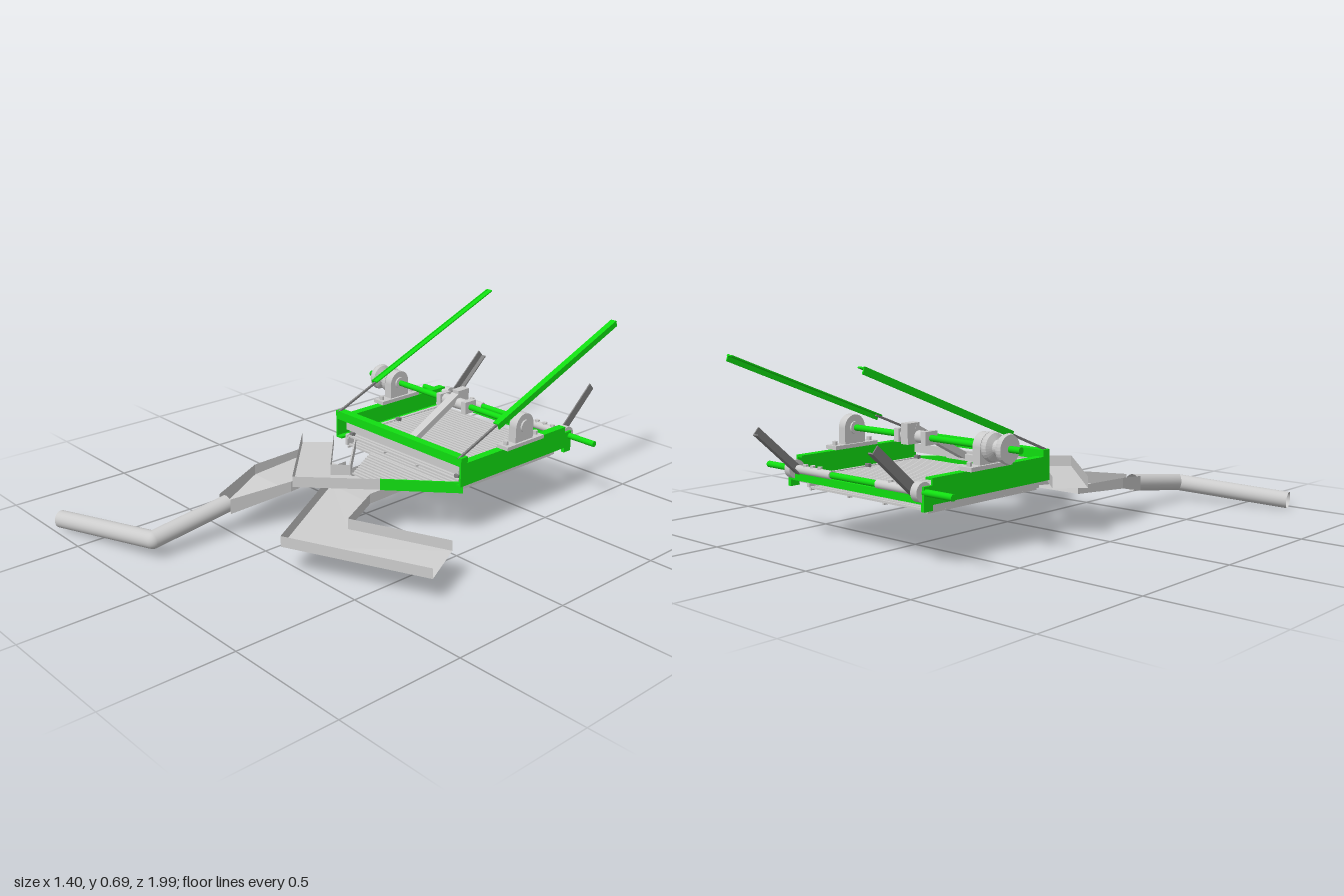
import * as THREE from 'three';

const V = (p) => new THREE.Vector3(...p);
const grey = new THREE.MeshStandardMaterial({ color: 0xcccccc, side: THREE.DoubleSide, flatShading: true });
const smooth = new THREE.MeshStandardMaterial({ color: 0xcccccc, side: THREE.DoubleSide });
const dark = new THREE.MeshStandardMaterial({ color: 0x808080, side: THREE.DoubleSide });
const green = new THREE.MeshStandardMaterial({ color: 0x11dd11, side: THREE.DoubleSide });

export function createModel() {
  const model = new THREE.Group();
  const CX = 0.06; // centre line of the screen box
  const SIDES = [-1, 1];

  const add = (name, geo, mat, parent = model) => {
    const m = new THREE.Mesh(geo, mat);
    m.name = name;
    parent.add(m);
    return m;
  };
  // box given by its min and max on each axis
  const box = (name, x, y, z, mat) => {
    const m = add(name, new THREE.BoxGeometry(x[1] - x[0], y[1] - y[0], z[1] - z[0]), mat);
    m.position.set((x[0] + x[1]) / 2, (y[0] + y[1]) / 2, (z[0] + z[1]) / 2);
    return m;
  };
  // straight bar of rectangular section between two points
  const bar = (name, a, b, w, h, mat) => {
    const m = add(name, new THREE.BoxGeometry(w, h, V(a).distanceTo(V(b))), mat);
    m.position.copy(V(a).lerp(V(b), 0.5));
    m.lookAt(V(b));
    return m;
  };
  // cylinder lying along x
  const rod = (name, x0, x1, y, z, r, mat, sides = 20) => {
    const m = add(name, new THREE.CylinderGeometry(r, r, x1 - x0, sides), mat);
    m.rotation.z = Math.PI / 2;
    m.position.set((x0 + x1) / 2, y, z);
    return m;
  };
  // open trough through sections [left floor point, right floor point, wall height]
  const trough = (name, sections, mat = grey) => {
    const rows = sections.map(([l, r, h]) => [[l[0], l[1] + h, l[2]], l, r, [r[0], r[1] + h, r[2]]]);
    const pos = [];
    for (let i = 0; i + 1 < rows.length; i++) {
      for (let j = 0; j < 3; j++) {
        const [a, b, c, d] = [rows[i][j], rows[i][j + 1], rows[i + 1][j + 1], rows[i + 1][j]];
        pos.push(...a, ...b, ...c, ...a, ...c, ...d);
      }
    }
    const g = new THREE.BufferGeometry();
    g.setAttribute('position', new THREE.Float32BufferAttribute(pos, 3));
    g.computeVertexNormals();
    return add(name, g, mat);
  };

  // side channels, lift arms, bearings and rear legs, mirrored about the centre line
  for (const s of SIDES) {
    const side = s < 0 ? 'right' : 'left';
    const span = (a, b) => [CX + s * a, CX + s * b].sort((p, q) => p - q);
    box(side + 'RailWeb', span(0.347, 0.355), [0.22, 0.31], [-0.7, -0.1], green);
    box(side + 'RailTopFlange', span(0.322, 0.355), [0.302, 0.31], [-0.7, -0.1], green);
    box(side + 'RailBottomFlange', span(0.322, 0.355), [0.22, 0.228], [-0.7, -0.1], green);
    box(side + 'RailEnd', span(0.34, 0.355), [0.2, 0.285], [-0.74, -0.7], green);
    box(side + 'ScreenClamp', span(0.308, 0.322), [0.19, 0.235], [-0.68, -0.12], grey);

    // lift arm of angle section with a thin stay at its foot
    const x = CX + s * 0.34;
    bar(side + 'ArmWeb', [x + s * 0.012, 0.41, -0.3], [x + s * 0.012, 0.685, -0.99], 0.005, 0.025, green);
    bar(side + 'ArmFlange', [x, 0.418, -0.3], [x, 0.693, -0.99], 0.028, 0.005, green);
    bar(side + 'ArmStay', [x, 0.33, -0.1], [x, 0.42, -0.32], 0.008, 0.008, dark);

    // pillow block bearing
    const bx = CX + s * 0.35;
    box(side + 'BearingFoot', [bx - 0.028, bx + 0.028], [0.31, 0.325], [-0.54, -0.33], grey);
    box(side + 'BearingPedestal', [bx - 0.018, bx + 0.018], [0.32, 0.385], [-0.485, -0.385], grey);
    rod(side + 'BearingHousing', bx - 0.018, bx + 0.018, 0.385, -0.435, 0.05, smooth, 28);
    rod(side + 'BearingCollar', bx - 0.025, bx + 0.025, 0.385, -0.435, 0.025, smooth);
    for (const z of [-0.52, -0.35]) {
      const bolt = add(side + 'BearingBolt', new THREE.CylinderGeometry(0.01, 0.01, 0.02, 6), grey);
      bolt.position.set(bx, 0.33, z);
    }

    // rear leg, sleeve and bolts on the rear rod
    const lx = CX + s * 0.3;
    bar(side + 'RearLegWeb', [lx + s * 0.01, 0.255, -0.72], [lx + s * 0.01, 0.425, -0.91], 0.005, 0.032, dark);
    bar(side + 'RearLegFlange', [lx, 0.243, -0.73], [lx, 0.413, -0.92], 0.025, 0.005, dark);
    rod(side + 'RearSleeve', ...span(0.12, 0.31), 0.265, -0.73, 0.016, smooth);
    rod(side + 'RearRoller', ...span(0.315, 0.345), 0.265, -0.73, 0.035, smooth);
    for (let i = 0; i < 3; i++) {
      const bolt = add(side + 'SleeveBolt', new THREE.CylinderGeometry(0.01, 0.01, 0.04, 6), grey);
      bolt.position.set(CX + s * (0.185 + i * 0.04), 0.268, -0.73);
    }
  }

  // cross members
  box('frontBeam', [-0.295, 0.415], [0.3, 0.335], [-0.135, -0.1], green);
  box('frontPlate', [-0.26, 0.38], [0.255, 0.29], [-0.135, -0.125], grey);
  box('rearBeam', [-0.295, 0.415], [0.225, 0.252], [-0.74, -0.72], green);
  rod('rearRod', -0.42, 0.54, 0.265, -0.73, 0.012, green);

  // eccentric shaft with grooved pulley and hub
  rod('shaft', -0.45, 0.42, 0.385, -0.435, 0.012, green);
  const profile = [[0.012, -0.045], [0.05, -0.045], [0.054, -0.035], [0.05, -0.022], [0.028, -0.012],
    [0.028, 0.012], [0.05, 0.022], [0.054, 0.035], [0.05, 0.045], [0.012, 0.045]];
  const pulley = add('pulley', new THREE.LatheGeometry(profile.map((p) => new THREE.Vector2(...p)), 28), grey);
  pulley.rotation.z = Math.PI / 2;
  pulley.position.set(-0.355, 0.385, -0.435);
  rod('hub', -0.02, 0.14, 0.385, -0.435, 0.023, smooth);
  for (const x of [-0.01, 0.13]) box('hubClamp', [x - 0.012, x + 0.012], [0.36, 0.41], [-0.465, -0.405], grey);

  // drive arm from the hub down to the screen
  box('driveArmHead', [0.043, 0.078], [0.36, 0.437], [-0.49, -0.43], grey);
  bar('driveArm', [CX, 0.42, -0.45], [CX, 0.285, -0.19], 0.035, 0.025, grey);
  box('driveArmFoot', [-0.02, 0.14], [0.265, 0.29], [-0.195, -0.175], grey);

  // two screen decks of cross slats on long bearers
  for (const [y, w] of [[0.228, 0.012], [0.19, 0.01]]) {
    for (let i = 0; i < 28; i++) {
      const z = -0.672 + i * 0.02;
      box('screenSlat', [-0.25, 0.37], [y - 0.004, y + 0.004], [z - w / 2, z + w / 2], grey);
    }
    for (const x of [-0.245, -0.03, 0.155, 0.365]) {
      box('screenBearer', [x - 0.004, x + 0.004], [y - 0.01, y - 0.002], [-0.68, -0.12], grey);
    }
  }
  for (const x of [-0.24, 0.36]) {
    for (const z of [-0.66, -0.4, -0.14]) box('screenLug', [x - 0.01, x + 0.01], [0.23, 0.245], [z - 0.008, z + 0.008], dark);
  }

  // slatted funnel narrowing in front of the screen
  bar('funnelLeftWall', [0.41, 0.212, -0.12], [0.18, 0.212, 0.09], 0.006, 0.044, green);
  bar('funnelRightWall', [-0.2, 0.212, -0.12], [0, 0.212, 0.085], 0.006, 0.044, grey);
  for (let i = 0; i < 10; i++) {
    const t = i / 9.5;
    const z = -0.11 + t * 0.19;
    bar('funnelSlat', [THREE.MathUtils.lerp(-0.1, 0.01, t), 0.197, z],
      [THREE.MathUtils.lerp(0.39, 0.19, t), 0.197, z], 0.011, 0.006, grey);
  }

  // upper trough turning back to the right
  trough('upperTrough', [
    [[-0.4, 0.19, -0.005], [-0.31, 0.19, -0.1], 0.043],
    [[-0.06, 0.19, 0.32], [-0.055, 0.19, 0.135], 0.043],
    [[0.18, 0.19, 0.09], [0, 0.19, 0.08], 0.043],
  ]);

  // lower trough bending out to the left
  trough('lowerTrough', [
    [[-0.055, 0.155, -0.13], [0.18, 0.155, -0.13], 0.035],
    [[-0.055, 0.148, 0.13], [0.18, 0.148, 0.14], 0.04],
    [[0.185, 0.112, 0.57], [0.26, 0.128, 0.32], 0.042],
    [[0.7, 0.1, 0.325], [0.63, 0.125, 0.16], 0.04],
  ]);

  // tapering trough into the discharge pipe
  trough('taperTrough', [
    [[-0.35, 0.16, 0], [-0.12, 0.16, 0], 0.03],
    [[-0.35, 0.14, 0.28], [-0.12, 0.14, 0.28], 0.042],
    [[-0.27, 0.088, 0.51], [-0.2, 0.088, 0.51], 0.06],
  ]);

  // bent discharge pipe, open at both ends
  const points = [[-0.235, 0.118, 0.5], [-0.235, 0.073, 0.835], [-0.693, 0.037, 0.96]].map(V);
  for (let i = 0; i < 2; i++) {
    const path = new THREE.LineCurve3(points[i], points[i + 1]);
    add('pipe', new THREE.TubeGeometry(path, 1, 0.034, 28), smooth);
  }
  add('pipeElbow', new THREE.SphereGeometry(0.034, 28, 16), smooth).position.copy(points[1]);

  return model;
}
